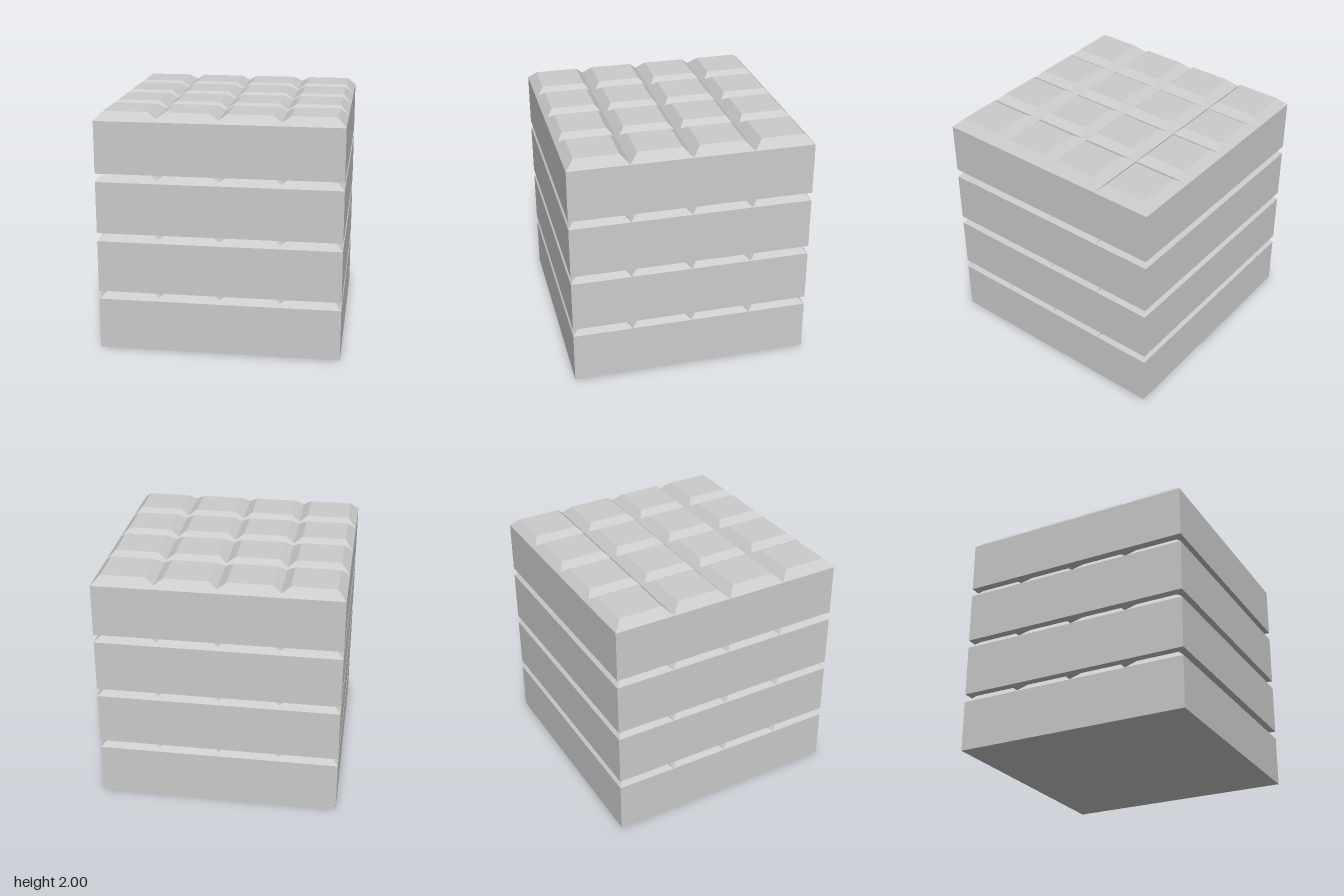
import * as THREE from 'three';

const LAYERS = 4, CELLS = 4, PITCH = 0.5;
const BEVEL = 0.07;   // height and inset of each raised tile
const OVERLAP = 0.04; // neighbouring tiles run into each other across x

const material = new THREE.MeshStandardMaterial({ color: 0xcccccc, flatShading: true });

// Box whose corners move to a bottom and a top rectangle: [xMin, xMax, zMin, zMax]
function frustum(bottom, top, height) {
  const geometry = new THREE.BoxGeometry(1, 1, 1);
  const p = geometry.attributes.position;
  for (let i = 0; i < p.count; i++) {
    const isTop = p.getY(i) > 0;
    const r = isTop ? top : bottom;
    p.setXYZ(i, r[p.getX(i) > 0 ? 1 : 0], isTop ? height : 0, r[p.getZ(i) > 0 ? 3 : 2]);
  }
  geometry.computeVertexNormals();
  return geometry;
}

// One slab with a grid of bevelled tiles on top
function createLayer() {
  const layer = new THREE.Group();
  const slabHeight = PITCH - BEVEL;

  const slab = new THREE.Mesh(new THREE.BoxGeometry(2, slabHeight, 2), material);
  slab.name = 'slab';
  slab.position.y = slabHeight / 2;
  layer.add(slab);

  for (let row = 0; row < CELLS; row++) {
    for (let col = 0; col < CELLS; col++) {
      const x0 = -1 + col * PITCH, x1 = x0 + PITCH;
      const z0 = -1 + row * PITCH, z1 = z0 + PITCH;
      const bottom = [Math.max(-1, x0 - OVERLAP), Math.min(1, x1 + OVERLAP), z0, z1];
      const top = [x0 + BEVEL, x1 - BEVEL, z0 + BEVEL, z1 - BEVEL];
      const tile = new THREE.Mesh(frustum(bottom, top, BEVEL), material);
      tile.name = 'bevelledTile';
      tile.position.y = slabHeight;
      layer.add(tile);
    }
  }
  return layer;
}

export function createModel() {
  const model = new THREE.Group();
  model.name = 'stackedTileBlock';
  for (let i = 0; i < LAYERS; i++) {
    const layer = createLayer();
    layer.name = 'layer' + (i + 1);
    layer.position.y = i * PITCH;
    model.add(layer);
  }
  return model;
}
